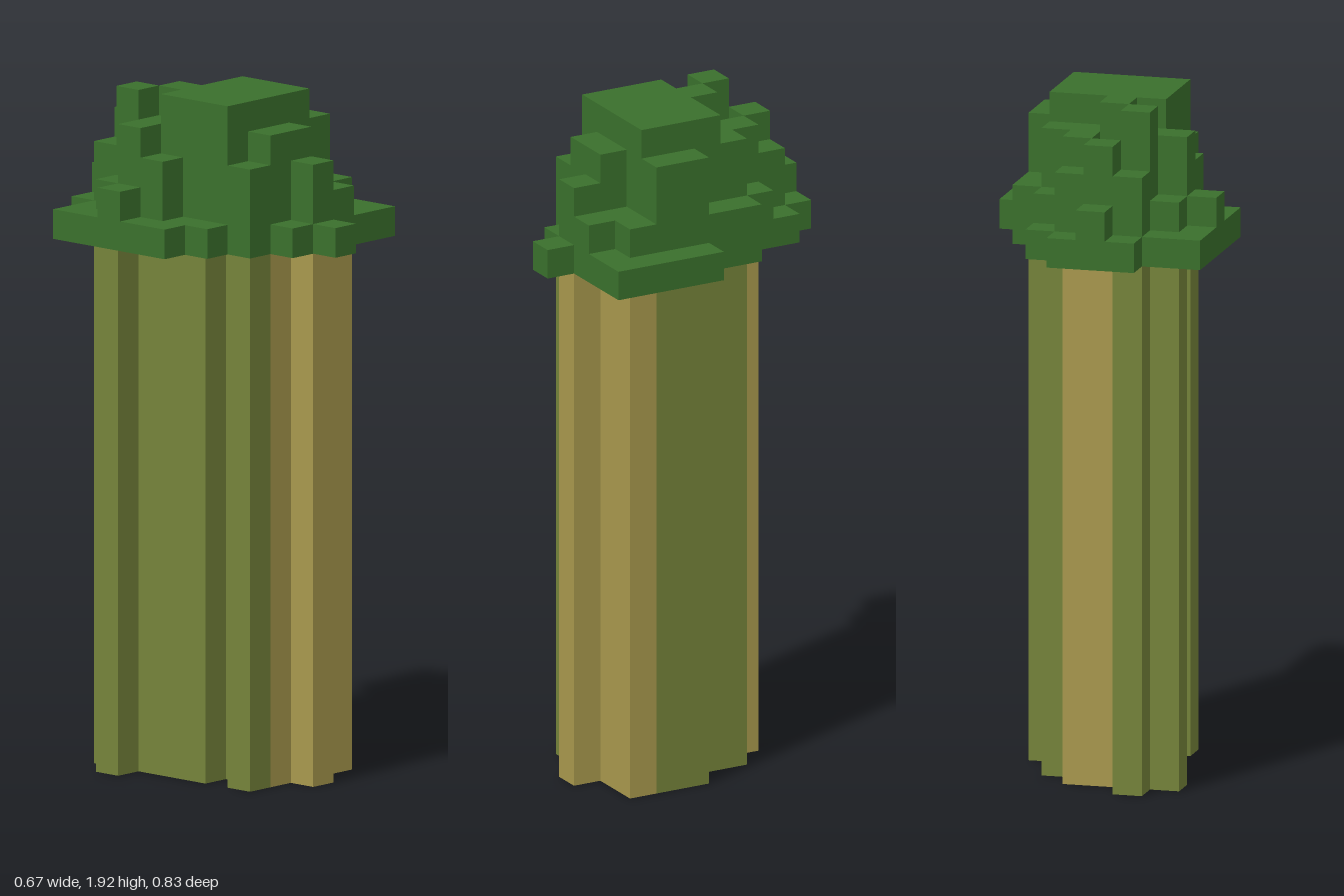
import * as THREE from 'three';

const U = 1 / 12;          // edge of one block
const X0 = -4, Z0 = -5;    // grid position of the first map character

// Crown column heights in blocks; rows run back to front, characters run along +x
const CROWN = [
  '..121...',
  '113431..',
  '125342..',
  '2445442.',
  '1355552.',
  '11555541',
  '.1555541',
  '..344221',
  '...13211',
  '....1...',
];

// Trunk plan: o = olive bark, t = tan bark
const TRUNK = [
  '........',
  '..o.....',
  '.oott...',
  '..otto..',
  '..otto..',
  '..ottto.',
  '...otto.',
  '..otttt.',
  '....t...',
  '........',
];

const at = (map, c, r) => (map[r] && map[r][c]) || '.';

// Exposed faces of a field of block columns; height(c, r) gives blocks, pick(c, r) selects columns
function columns(height, pick, y0) {
  const pos = [];
  const quad = (a, b, c, d) => pos.push(...a, ...b, ...c, ...a, ...c, ...d);
  for (let r = 0; r < 10; r++) for (let c = 0; c < 8; c++) {
    const h = height(c, r);
    if (!h || !pick(c, r)) continue;
    const x = (c + X0) * U, z = (r + Z0) * U, X = x + U, Z = z + U, top = y0 + h * U;
    quad([x, top, Z], [X, top, Z], [X, top, z], [x, top, z]);
    quad([x, y0, z], [X, y0, z], [X, y0, Z], [x, y0, Z]);
    // each side starts above the neighbouring column
    const sides = [
      [1, 0, X, Z, X, z], [-1, 0, x, z, x, Z],
      [0, 1, x, Z, X, Z], [0, -1, X, z, x, z],
    ];
    for (const [dc, dr, ax, az, bx, bz] of sides) {
      const n = height(c + dc, r + dr);
      if (n >= h) continue;
      const low = y0 + n * U;
      quad([ax, low, az], [bx, low, bz], [bx, top, bz], [ax, top, az]);
    }
  }
  const g = new THREE.BufferGeometry();
  g.setAttribute('position', new THREE.Float32BufferAttribute(pos, 3));
  g.computeVertexNormals();
  return g;
}

function part(name, geometry, material) {
  const m = new THREE.Mesh(geometry, material);
  m.name = name;
  return m;
}

export function createModel() {
  const leaf = new THREE.MeshStandardMaterial({ color: 0x3a702c });
  leaf.name = 'leaf green';
  const olive = new THREE.MeshStandardMaterial({ color: 0x75833a });
  olive.name = 'olive bark';
  const tan = new THREE.MeshStandardMaterial({ color: 0xa8984d });
  tan.name = 'tan bark';

  const group = new THREE.Group();
  group.name = 'blockTree';

  // Straight trunk of upright strips
  const trunkHeight = (c, r) => (at(TRUNK, c, r) === '.' ? 0 : 18);
  group.add(part('oliveTrunkStrips', columns(trunkHeight, (c, r) => at(TRUNK, c, r) === 'o', 0), olive));
  group.add(part('tanTrunkStrips', columns(trunkHeight, (c, r) => at(TRUNK, c, r) === 't', 0), tan));

  // Stepped crown on top
  const crownHeight = (c, r) => Number(at(CROWN, c, r)) || 0;
  group.add(part('crown', columns(crownHeight, () => true, 18 * U), leaf));
  return group;
}
